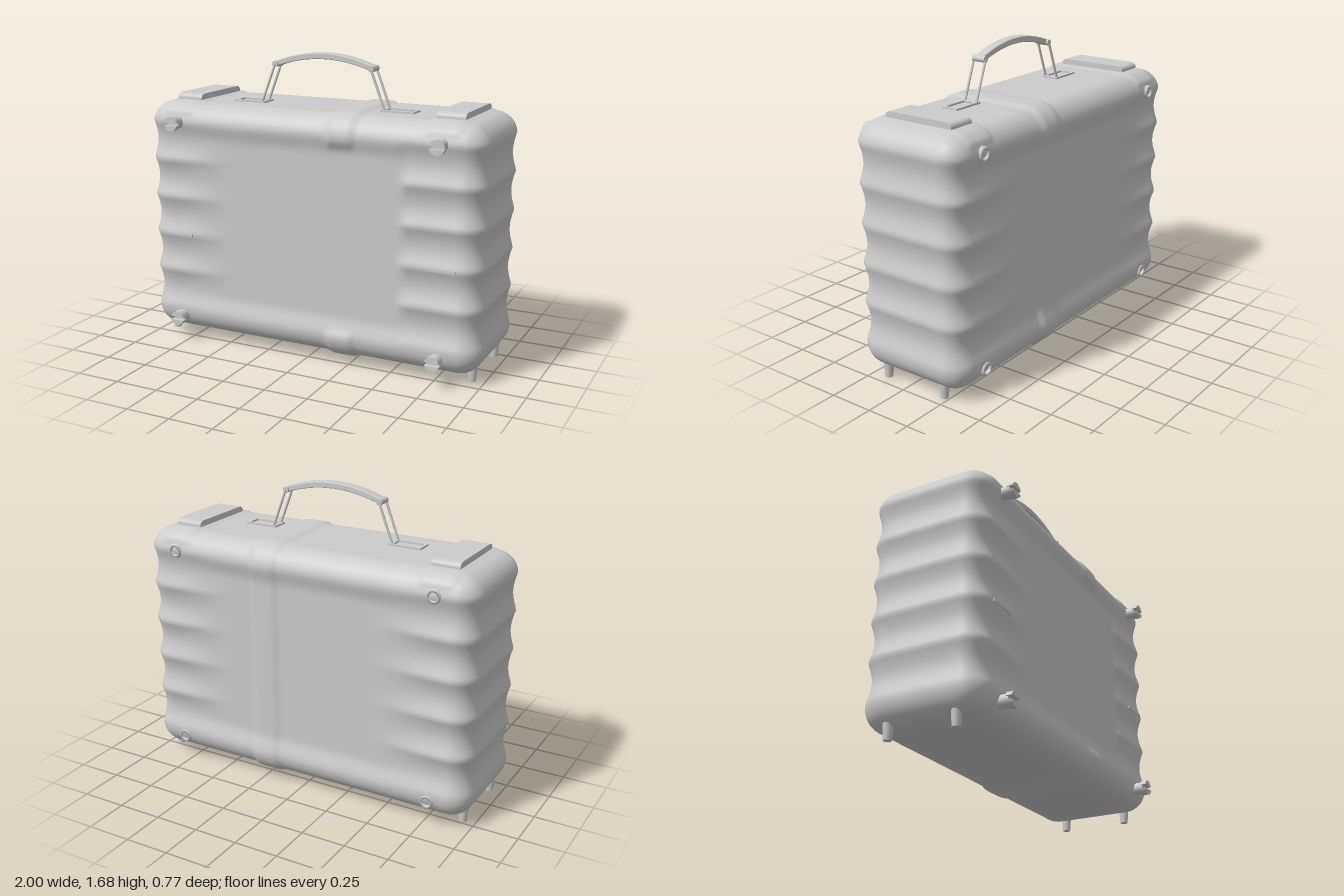
import * as THREE from 'three';
import { mergeVertices } from 'three/addons/utils/BufferGeometryUtils.js';

const grey = new THREE.MeshStandardMaterial({ color: 0xcccccc });
const doubleGrey = new THREE.MeshStandardMaterial({ color: 0xcccccc, side: THREE.DoubleSide });
const CZ = -0.03, TOP = 1.385;
const ease = THREE.MathUtils.smoothstep;
const band = (v, a, b, soft) => ease(v, a, a + soft) * (1 - ease(v, b - soft, b));

function add(parent, name, geometry, x = 0, y = 0, z = 0, material = grey) {
  const mesh = new THREE.Mesh(geometry, material);
  mesh.name = name;
  mesh.position.set(x, y, z);
  parent.add(mesh);
  return mesh;
}

// Rounded shell with ribbed ends, shallow panels and raised straps
function bodyGeometry() {
  const r = 0.13, half = new THREE.Vector3(1, 0.667, 0.345);
  const geo = new THREE.BoxGeometry(2, 1.334, 0.69, 100, 74, 36);
  const inner = half.clone().subScalar(r);
  const low = inner.clone().negate();
  const p = new THREE.Vector3(), core = new THREE.Vector3(), n = new THREE.Vector3();
  const pos = geo.attributes.position;
  for (let i = 0; i < pos.count; i++) {
    p.fromBufferAttribute(pos, i);
    core.copy(p).clamp(low, inner);
    n.subVectors(p, core).normalize();
    p.copy(core).addScaledVector(n, r);
    const y = p.y + TOP - half.y, ax = Math.abs(p.x);
    // ribs: five hollows with crisp crests between them
    const rib = y > 0.2 && y < 1.28 ? 0.026 * Math.abs(Math.sin(Math.PI * (y - 0.2) / 0.216)) : 0;
    const panel = 0.024 * band(y, 0.17, 1.29, 0.12);
    const stepped = n.z > 0 && p.x > 0;
    const w = stepped ? ease(ax, 0.53, 0.6) : ease(ax, 0.4, 0.85);
    const inset = THREE.MathUtils.lerp(panel, rib, w);
    p.x -= n.x * inset * 0.8;
    p.z -= n.z * inset;
    // centre strap, plus short straps over the corners
    let bump = 0.012 * band(p.x, 0.13, 0.3, 0.025);
    if (n.z > 0) bump *= 1 - band(y, 0.17, 1.25, 0.05);
    bump += 0.008 * band(ax, 0.68, 0.88, 0.025) * ease(y, 1.31, 1.34);
    p.addScaledVector(n, bump);
    pos.setXYZ(i, p.x, p.y, p.z);
  }
  geo.deleteAttribute('uv');
  geo.deleteAttribute('normal');
  const merged = mergeVertices(geo, 1e-4);
  merged.computeVertexNormals();
  return merged;
}

// Round stud with a slot across its end
function frontStud() {
  const stud = new THREE.Group();
  stud.name = 'frontStud';
  add(stud, 'studShank', new THREE.CylinderGeometry(0.034, 0.034, 0.09, 24).rotateX(Math.PI / 2), 0, 0, 0.315);
  const a = 0.25;
  for (const turn of [0, Math.PI]) {
    const shape = new THREE.Shape().absarc(0, 0, 0.041, a, Math.PI - a, false);
    const jaw = new THREE.ExtrudeGeometry(shape, { depth: 0.035, bevelEnabled: false, curveSegments: 14 });
    add(stud, 'studJaw', jaw, 0, 0, 0.35).rotation.z = turn;
  }
  return stud;
}

// Flat rectangular frame lying on the lid
function mountFrame() {
  const rect = (path, w, d) => path.moveTo(-w, -d).lineTo(w, -d).lineTo(w, d).lineTo(-w, d).closePath();
  const shape = rect(new THREE.Shape(), 0.095, 0.05);
  shape.holes.push(rect(new THREE.Path(), 0.08, 0.036));
  return new THREE.ExtrudeGeometry(shape, { depth: 0.014, bevelEnabled: false }).rotateX(-Math.PI / 2);
}

// Lid pad whose long ends round down to the lid
function padGeometry() {
  const s = new THREE.Shape().moveTo(-0.21, 0).lineTo(-0.21, 0.02);
  s.quadraticCurveTo(-0.21, 0.05, -0.17, 0.05).lineTo(0.17, 0.05);
  s.quadraticCurveTo(0.21, 0.05, 0.21, 0.02).lineTo(0.21, 0).closePath();
  return new THREE.ExtrudeGeometry(s, { depth: 0.156, bevelEnabled: false })
    .translate(0, 0, -0.078).rotateY(Math.PI / 2);
}

// Arched grip with a wire bail at each end
function handle() {
  const group = new THREE.Group();
  group.name = 'handle';
  const z = 0.035;
  const grip = new THREE.Shape().moveTo(-0.29, 1.595);
  grip.quadraticCurveTo(-0.14, 1.648, 0, 1.648).quadraticCurveTo(0.14, 1.648, 0.29, 1.595);
  grip.lineTo(0.285, 1.618).quadraticCurveTo(0.14, 1.672, 0, 1.672);
  grip.quadraticCurveTo(-0.14, 1.672, -0.285, 1.618).closePath();
  add(group, 'grip', new THREE.ExtrudeGeometry(grip, {
    depth: 0.046, bevelEnabled: true, bevelSize: 0.005, bevelThickness: 0.006, bevelSegments: 3, curveSegments: 16,
  }), 0, 0, z - 0.023);
  for (const s of [-1, 1]) {
    add(group, 'gripPivot', new THREE.CylinderGeometry(0.017, 0.017, 0.08, 18).rotateX(Math.PI / 2), s * 0.288, 1.605, z);
    const loop = new THREE.CurvePath();
    const corners = [[0.288, 1.605, -0.038], [0.37, 1.39, -0.038], [0.37, 1.39, 0.038], [0.288, 1.605, 0.038]]
      .map(([x, y, d]) => new THREE.Vector3(s * x, y, z + d));
    corners.forEach((c, i) => loop.add(new THREE.LineCurve3(c, corners[(i + 1) % 4])));
    add(group, 'handleBail', new THREE.TubeGeometry(loop, 80, 0.007, 8, true));
    add(group, 'mountFrame', mountFrame(), s * 0.445, TOP - 0.004, z);
  }
  return group;
}

export function createModel() {
  const model = new THREE.Group();
  model.name = 'suitcase';
  add(model, 'body', bodyGeometry(), 0, TOP - 0.667, CZ);
  model.add(handle());

  const foot = new THREE.CylinderGeometry(0.03, 0.021, 0.11, 16);
  // open sleeve set into the back
  const sleeve = new THREE.LatheGeometry([[0.024, -0.02], [0.024, 0.012], [0.036, 0.012], [0.042, -0.02]]
    .map(([x, y]) => new THREE.Vector2(x, y)), 24).rotateX(-Math.PI / 2);

  for (const s of [-1, 1]) {
    add(model, 'lidPad', padGeometry(), s * 0.78, TOP - 0.01, CZ);
    add(model, 'sideSlat', new THREE.BoxGeometry(0.17, 0.014, 0.02), s * 0.79, 0.632, 0.308);
    for (const z of [0.16, -0.22]) add(model, 'foot', foot, s * 0.93, 0.055, z);
    for (const y of [0.145, 1.28]) {
      const stud = frontStud();
      stud.position.set(s * 0.78, y, 0);
      model.add(stud);
      add(model, 'backSocket', sleeve, s * 0.78, y, -0.368, doubleGrey);
    }
  }
  return model;
}
